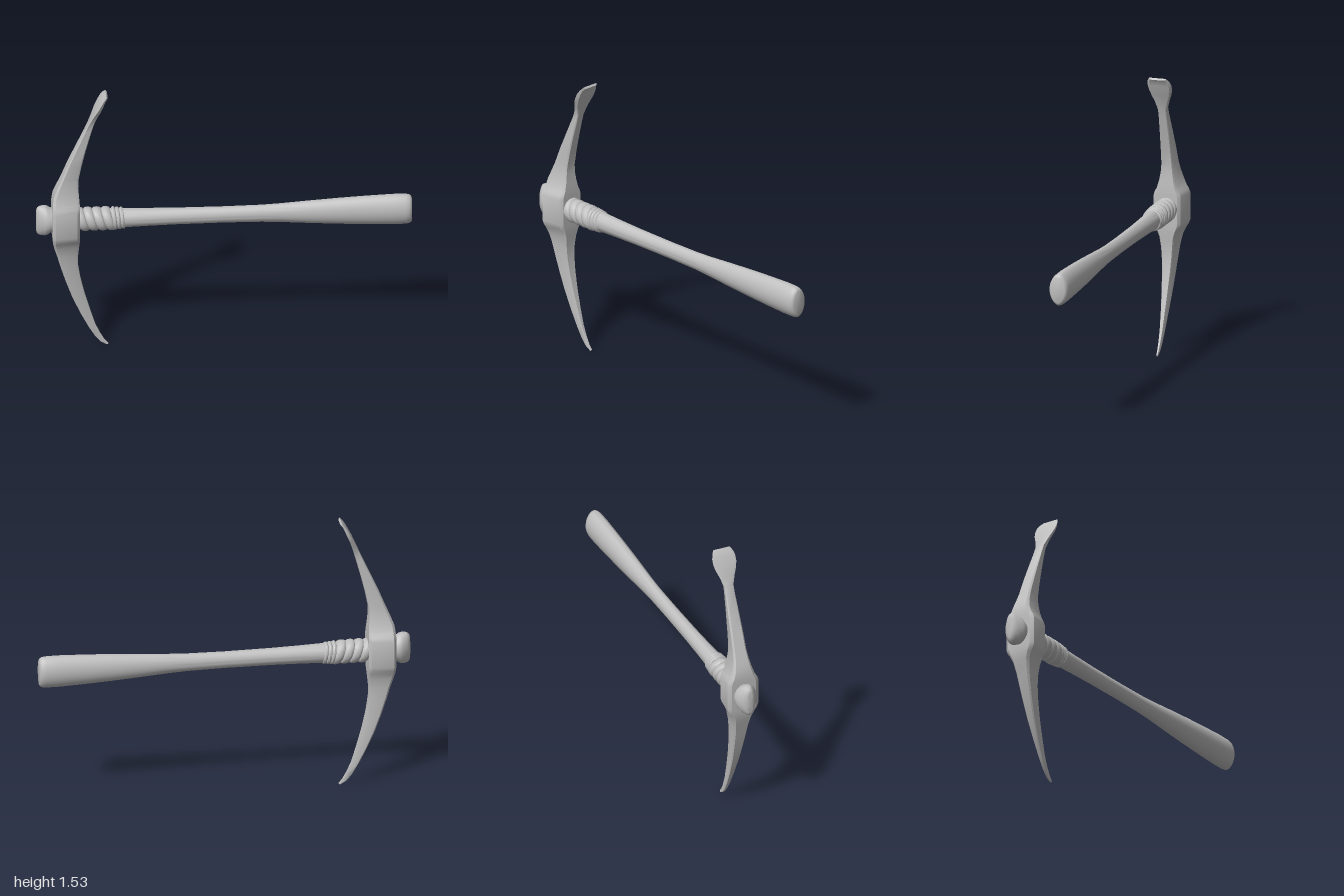
import * as THREE from 'three';
import { toCreasedNormals } from 'three/addons/utils/BufferGeometryUtils.js';

const AXIS_Y = 0.77; // height of the handle axis

// Skin a list of closed rings (counter-clockwise about the direction of travel) and cap both ends
function loft(rings, crease) {
  const n = rings[0].length, pos = [], index = [];
  const centre = r => [0, 1, 2].map(k => r.reduce((s, p) => s + p[k], 0) / n);
  rings.forEach(r => r.forEach(p => pos.push(...p)));
  const first = rings.length * n, last = first + 1, top = (rings.length - 1) * n;
  pos.push(...centre(rings[0]), ...centre(rings[rings.length - 1]));
  for (let j = 0; j < n; j++) {
    const k = (j + 1) % n;
    for (let i = 0; i < rings.length - 1; i++) {
      const a = i * n + j, b = i * n + k;
      index.push(a, b, b + n, a, b + n, a + n);
    }
    index.push(first, k, j, last, top + j, top + k);
  }
  const g = new THREE.BufferGeometry();
  g.setAttribute('position', new THREE.Float32BufferAttribute(pos, 3));
  g.setIndex(index);
  return toCreasedNormals(g, crease);
}

// Oval ring round the handle axis; point > 1 sharpens the top and bottom, lean slants the ring
function oval(x, h, w, point = 1, lean = 0, sides = 32) {
  return Array.from({ length: sides }, (_, j) => {
    const a = (j / sides) * Math.PI * 2, s = Math.sin(a), y = h * Math.cos(a);
    return [x - lean * y, AXIS_Y + y, w * Math.sign(s) * Math.abs(s) ** point];
  });
}

export function createModel() {
  const group = new THREE.Group();
  const grey = new THREE.MeshStandardMaterial({ color: 0xbfbfbf });
  grey.name = 'plain grey';
  const add = (name, geometry) => {
    const mesh = new THREE.Mesh(geometry, grey);
    mesh.name = name;
    group.add(mesh);
  };

  // Handle: x, half height, half depth
  const handle = [
    [-0.93, 0.06, 0.05], [-0.53, 0.055, 0.047], [-0.4, 0.051, 0.042], [-0.25, 0.048, 0.038],
    [0, 0.047, 0.035], [0.2, 0.05, 0.034], [0.3, 0.055, 0.036], [0.45, 0.066, 0.042],
    [0.6, 0.076, 0.047], [0.75, 0.084, 0.051], [0.9, 0.09, 0.054], [0.965, 0.089, 0.054],
    [0.985, 0.086, 0.051], [0.996, 0.079, 0.045], [1, 0.07, 0.038],
  ];
  add('handle', loft(handle.map(([x, h, w]) => oval(x, h, w, 1.2)), 0.9));

  // Flared butt of the handle behind the head
  const butt = [
    [-1, 0.06, 0.012], [-0.995, 0.078, 0.026], [-0.98, 0.088, 0.04], [-0.955, 0.09, 0.056],
    [-0.938, 0.083, 0.062], [-0.925, 0.072, 0.06], [-0.89, 0.07, 0.055],
  ];
  add('handleButt', loft(butt.map(([x, h, w]) => oval(x, h, w, 1.15)), 0.9));

  // Binding: wide slanted bands, then narrow straighter rings
  const band = (name, x, width, size, lean) => {
    const rows = Array.from({ length: 9 }, (_, i) => {
      const t = i / 4 - 1, r = size - 0.013 * (1 - Math.sqrt(Math.max(0, 1 - t * t)));
      return oval(x + (t * width) / 2, r, r * 0.94, 1, lean);
    });
    add(name, loft(rows, 1.2));
  };
  for (let i = 0; i < 4; i++) band('wideBinding', -0.755 + i * 0.047, 0.05, 0.066, 0.3);
  for (let i = 0; i < 3; i++) band('narrowBinding', -0.583 + i * 0.021, 0.023, 0.064 - i * 0.002, 0.12);

  // Head, point to blade: outer x, outer y, inner x, inner y, half width
  const head = [
    [-0.622, 0.001, -0.615, 0.008, 0.004], [-0.655, 0.02, -0.637, 0.034, 0.006],
    [-0.685, 0.056, -0.66, 0.075, 0.008], [-0.72, 0.115, -0.685, 0.13, 0.011],
    [-0.765, 0.205, -0.713, 0.22, 0.016], [-0.808, 0.305, -0.742, 0.32, 0.023],
    [-0.843, 0.405, -0.764, 0.415, 0.03], [-0.872, 0.5, -0.777, 0.5, 0.037],
    [-0.888, 0.56, -0.778, 0.56, 0.043], [-0.905, 0.615, -0.773, 0.615, 0.053],
    [-0.912, 0.65, -0.77, 0.65, 0.069], [-0.914, 0.672, -0.769, 0.672, 0.083],
    [-0.915, 0.695, -0.769, 0.695, 0.091], [-0.915, 0.84, -0.769, 0.84, 0.091],
    [-0.915, 0.862, -0.769, 0.862, 0.083], [-0.914, 0.885, -0.77, 0.885, 0.069],
    [-0.908, 0.925, -0.773, 0.925, 0.055], [-0.888, 0.975, -0.777, 0.975, 0.044],
    [-0.868, 1.02, -0.776, 1.02, 0.039], [-0.832, 1.11, -0.76, 1.1, 0.036],
    [-0.792, 1.2, -0.738, 1.19, 0.032], [-0.742, 1.31, -0.708, 1.3, 0.027],
    [-0.725, 1.35, -0.698, 1.335, 0.027], [-0.705, 1.395, -0.683, 1.385, 0.043],
    [-0.69, 1.43, -0.669, 1.42, 0.058], [-0.674, 1.46, -0.655, 1.45, 0.067],
    [-0.658, 1.49, -0.643, 1.48, 0.067], [-0.644, 1.511, -0.633, 1.503, 0.06],
    [-0.628, 1.528, -0.62, 1.519, 0.048],
  ];
  // Chamfered trapezoid section: share of the way inward, share of the half width
  const half = [[0, 0.78], [0.1, 1], [0.9, 0.84], [1, 0.68]];
  const section = [...half, ...half.slice().reverse().map(([u, w]) => [u, -w])];
  add('pickHead', loft(head.map(([xo, yo, xi, yi, hw]) =>
    section.map(([u, w]) => [xo + (xi - xo) * u, yo + (yi - yo) * u, hw * w])), 0.6));

  return group;
}
